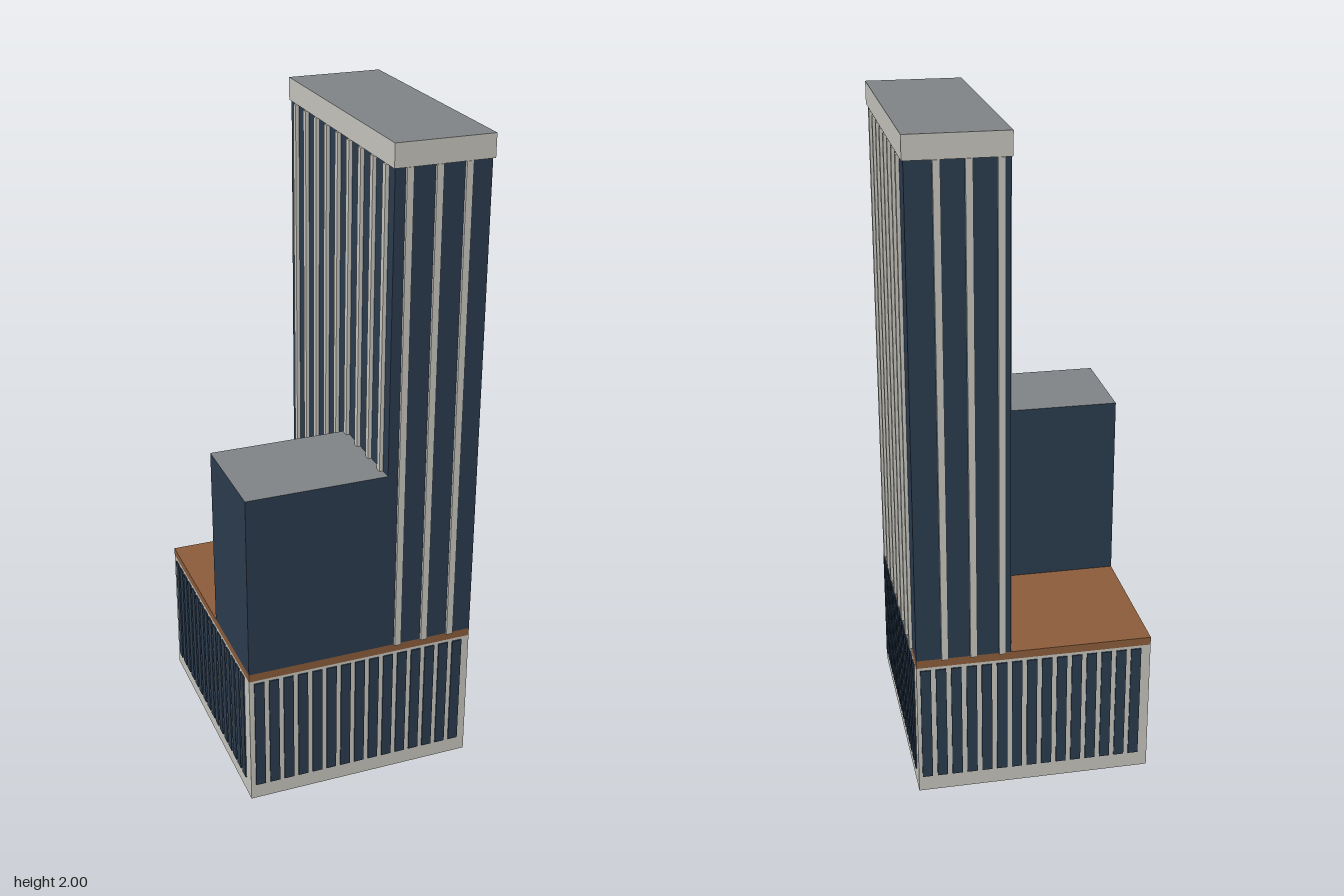
import * as THREE from 'three';

export function createModel() {
  const model = new THREE.Group();
  model.name = 'towerBuilding';

  const mat = (name, color) => {
    const m = new THREE.MeshStandardMaterial({ color });
    m.name = name;
    return m;
  };
  const stone = mat('paleStone', 0xc6c5be);
  const glass = mat('navyGlass', 0x2b3b4e);
  const roof = mat('greyRoof', 0x7f8486);
  const timber = mat('timberDeck', 0x8b5c3a);

  // Box given by its limits, with an optional different colour on its top face
  function box(parent, name, [x0, x1], [y0, y1], [z0, z1], material, top) {
    const geo = new THREE.BoxGeometry(x1 - x0, y1 - y0, z1 - z0);
    const mats = top ? [material, material, top, material, material, material] : material;
    const mesh = new THREE.Mesh(geo, mats);
    mesh.name = name;
    mesh.position.set((x0 + x1) / 2, (y0 + y1) / 2, (z0 + z1) / 2);
    parent.add(mesh);
    return mesh;
  }

  // Evenly spaced upright strips on a wall; axis is the direction they step along
  function strips(name, axis, first, pitch, count, width, ys, depth, material) {
    const group = new THREE.Group();
    group.name = name;
    for (let i = 0; i < count; i++) {
      const c = first + i * pitch;
      const span = [c - width / 2, c + width / 2];
      if (axis === 'x') box(group, name + i, span, ys, depth, material);
      else box(group, name + i, depth, ys, span, material);
    }
    model.add(group);
  }

  const X0 = -0.361, X1 = 0.352, Z = 0.395, TX = 0.069;
  const deckY = 0.453, parapetY = 1.932;

  // Podium, terrace deck, low block and tower
  box(model, 'podium', [X0, X1], [0, 0.428], [-Z, Z], stone);
  box(model, 'terraceDeck', [X0, X1], [0.428, deckY], [-Z, Z], timber);
  box(model, 'lowBlock', [X0, TX], [deckY, 1.03], [0.072, Z], glass, roof);
  box(model, 'tower', [TX, X1], [deckY, parapetY], [-Z, Z], glass);
  box(model, 'parapet', [0.064, 0.357], [parapetY, 2], [-0.402, 0.402], stone, roof);

  // Podium windows on all four walls
  const winY = [0.05, 0.419];
  strips('frontWindow', 'x', -0.330, 0.0458, 15, 0.031, winY, [Z - 0.004, Z + 0.004], glass);
  strips('backWindow', 'x', -0.316, 0.0458, 15, 0.031, winY, [-Z - 0.004, -Z + 0.004], glass);
  strips('leftWindow', 'z', -0.337, 0.0458, 16, 0.031, winY, [X1 - 0.004, X1 + 0.004], glass);
  strips('rightWindow', 'z', -0.352, 0.0458, 16, 0.031, winY, [X0 - 0.004, X0 + 0.004], glass);

  // Tower fins on all four walls
  const finY = [deckY, parapetY];
  strips('frontFin', 'x', 0.11, 0.086, 3, 0.02, finY, [Z - 0.005, Z + 0.009], stone);
  strips('backFin', 'x', 0.095, 0.086, 3, 0.02, finY, [-Z - 0.009, -Z + 0.005], stone);
  strips('leftFin', 'z', -0.31, 0.0859, 8, 0.02, finY, [X1 - 0.005, X1 + 0.01], stone);
  strips('rightFin', 'z', -0.34, 0.0859, 9, 0.02, finY, [TX - 0.011, TX + 0.005], stone);

  return model;
}
